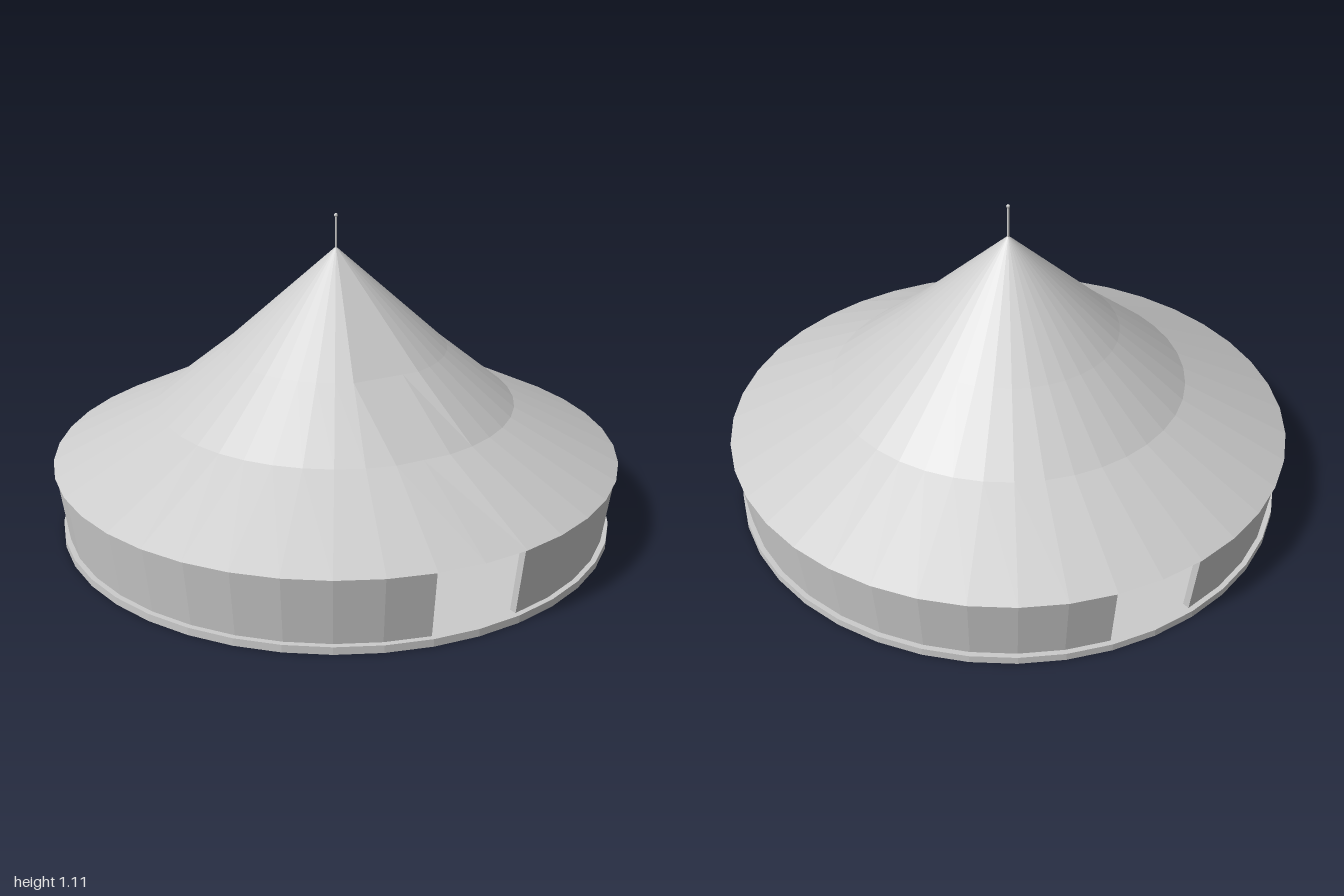
import * as THREE from 'three';

const SIDES = 40;
const STEP = (Math.PI * 2) / SIDES;
const pts = list => list.map(([x, y]) => new THREE.Vector2(x, y));

export function createModel() {
  const model = new THREE.Group();
  const grey = new THREE.MeshStandardMaterial({ color: 0xcccccc, flatShading: true, side: THREE.DoubleSide });
  const add = (name, geometry, parent = model) => {
    const mesh = new THREE.Mesh(geometry, grey);
    mesh.name = name;
    parent.add(mesh);
    return mesh;
  };

  // Round floor slab
  add('floor', new THREE.CylinderGeometry(0.98, 0.98, 0.026, SIDES).translate(0, 0.013, 0));

  // Outward leaning wall in two halves, leaving a doorway at front and back
  const wallProfile = pts([[0.962, 0.026], [0.993, 0.257], [0.968, 0.257], [0.937, 0.026]]);
  const closed = [...wallProfile, wallProfile[0]];
  for (const [name, start] of [['leftWall', STEP], ['rightWall', Math.PI + STEP]]) {
    const wall = new THREE.Group();
    wall.name = name;
    const span = Math.PI - 2 * STEP;
    add('wallPanel', new THREE.LatheGeometry(closed, SIDES / 2 - 2, start, span), wall);
    for (const angle of [start, start + span]) {
      const jamb = add('doorJamb', new THREE.ShapeGeometry(new THREE.Shape(wallProfile)), wall);
      jamb.rotation.y = angle - Math.PI / 2;
    }
    model.add(wall);
  }

  // Sloping soffit under the eaves, forming the door heads
  add('soffit', new THREE.LatheGeometry(pts([[0.95, 0.237], [0.997, 0.26]]), SIDES));

  // Concave tent roof
  const roofProfile = pts([[1, 0.26], [0.63, 0.445], [0.39, 0.64], [0, 0.995]]);
  const roof = new THREE.LatheGeometry(roofProfile, SIDES);
  const pos = roof.attributes.position;
  // Flatten the upper rings at the front: one step either side, then two
  for (const ring of [1, 2]) {
    const flatZ = roofProfile[ring].x * Math.cos(ring * STEP);
    for (let i = 0; i <= SIDES; i++) {
      const k = i * roofProfile.length + ring;
      pos.setZ(k, Math.min(pos.getZ(k), flatZ));
    }
  }
  add('roof', roof);

  // Mast with a small tip
  add('mast', new THREE.CylinderGeometry(0.004, 0.004, 0.13, 8).translate(0, 1.04, 0));
  add('mastTip', new THREE.SphereGeometry(0.007, 8, 6).translate(0, 1.104, 0));

  return model;
}
